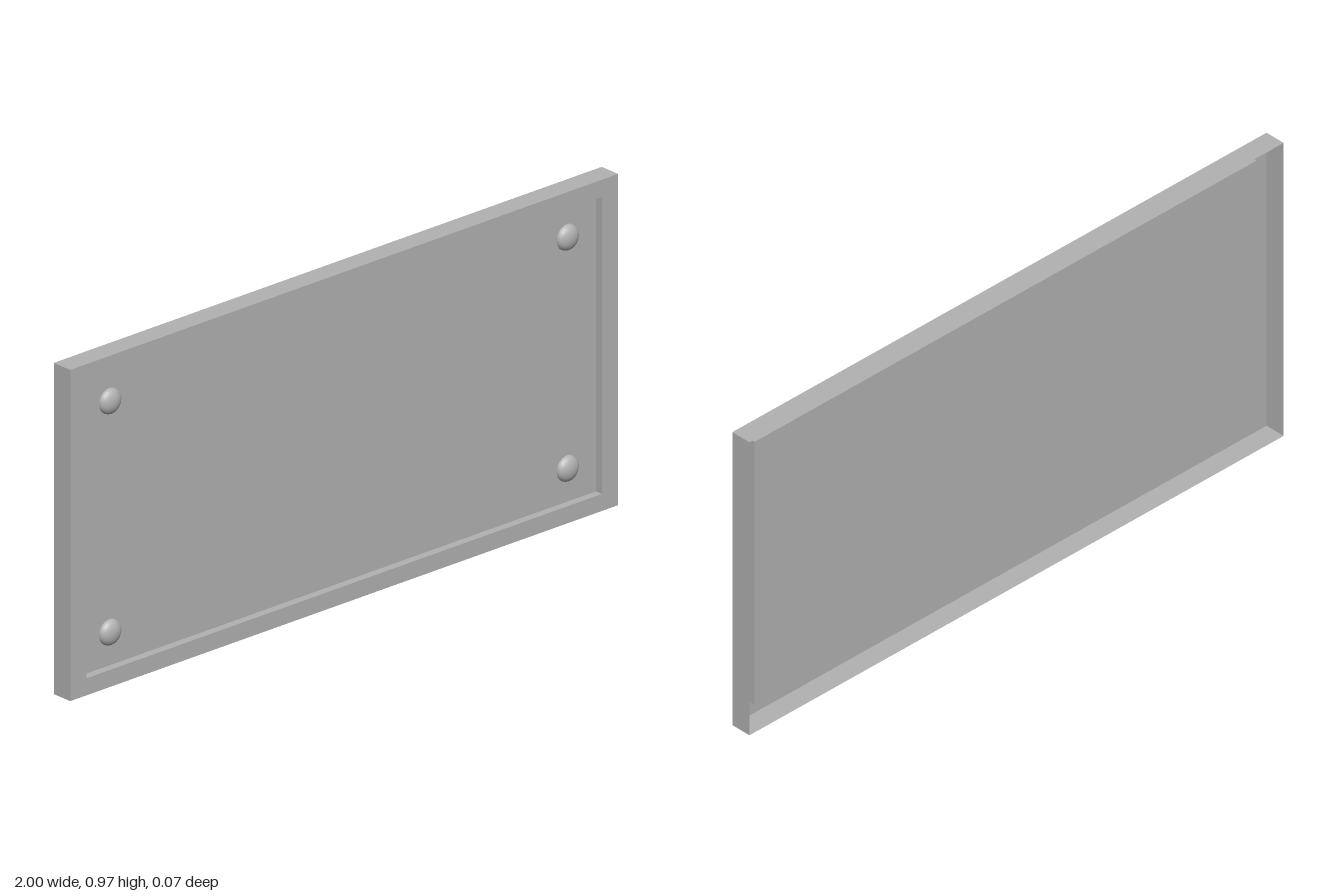
import * as THREE from 'three';

const W = 2, H = 0.97, FRONT = 0.033, BACK = -0.033; // outer tray
const PW = 1.88, PH = 0.87, PY = 0.485, PANEL = 0.009; // sunken panel

export function createModel() {
  const group = new THREE.Group();
  const grey = new THREE.MeshStandardMaterial({ color: 0xb2b2b2, side: THREE.DoubleSide });
  grey.name = 'plain grey';

  const add = (name, geometry, x = 0, y = 0, z = 0) => {
    const mesh = new THREE.Mesh(geometry, grey);
    mesh.name = name;
    mesh.position.set(x, y, z);
    group.add(mesh);
    return mesh;
  };

  // four thin walls around a rectangle, facing outwards
  const addWalls = (name, w, h, cy, z0, z1) => {
    const d = z1 - z0, z = (z0 + z1) / 2;
    for (const s of [-1, 1]) {
      add(name + 'Side', new THREE.PlaneGeometry(d, h), s * w / 2, cy, z).rotation.y = s * Math.PI / 2;
      add(name + (s > 0 ? 'Top' : 'Bottom'), new THREE.PlaneGeometry(w, d), 0, cy + s * h / 2, z)
        .rotation.x = -s * Math.PI / 2;
    }
  };

  const rectangle = (path, w, h, cy) => path
    .moveTo(-w / 2, cy - h / 2).lineTo(w / 2, cy - h / 2)
    .lineTo(w / 2, cy + h / 2).lineTo(-w / 2, cy + h / 2).closePath();

  // flat front rim with the panel opening
  const rim = new THREE.Shape();
  rectangle(rim, W, H, H / 2);
  const opening = new THREE.Path();
  rectangle(opening, PW, PH, PY);
  rim.holes.push(opening);
  add('frontRim', new THREE.ShapeGeometry(rim), 0, 0, FRONT);

  // outer walls, open at the back, and the step down to the panel
  addWalls('outerWall', W, H, H / 2, BACK, FRONT);
  addWalls('recessWall', PW, PH, PY, PANEL, FRONT);
  add('panel', new THREE.PlaneGeometry(PW, PH), 0, PY, PANEL);

  // rounded studs near the corners
  const profile = [];
  for (let i = 0; i <= 10; i++) {
    const a = i / 10 * Math.PI / 2;
    profile.push(new THREE.Vector2(0.038 * Math.cos(a), 0.023 * Math.sin(a)));
  }
  profile[10].x = 0;
  const stud = new THREE.LatheGeometry(profile, 24).rotateX(Math.PI / 2);
  for (const x of [-0.835, 0.835]) {
    for (const y of [0.148, 0.825]) add('stud', stud, x, y, PANEL);
  }
  return group;
}
